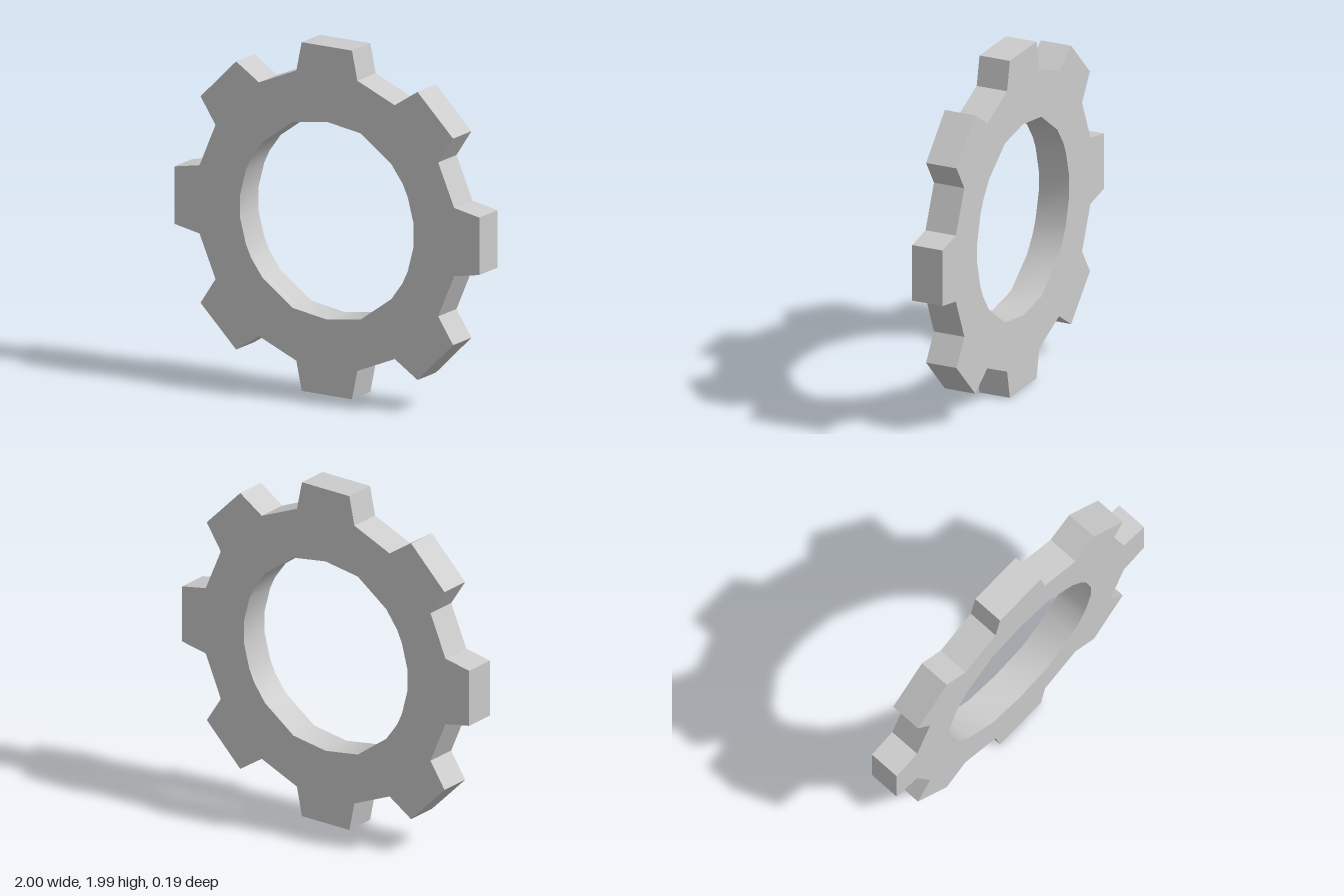
import * as THREE from 'three';
import { toCreasedNormals } from 'three/addons/utils/BufferGeometryUtils.js';

const DEPTH = 0.187;
const HALF_HEIGHT = 0.996;

// Mirrors a quarter outline (top to right side) into a closed clockwise loop
function mirrorQuarter(quarter) {
  const half = [...quarter, ...quarter.map(([x, y]) => [x, -y]).reverse()];
  const loop = [...half, ...half.map(([x, y]) => [-x, y]).reverse()];
  return loop
    .filter(([x, y], i) => {
      const [px, py] = loop[(i + loop.length - 1) % loop.length];
      return Math.hypot(x - px, y - py) > 1e-6;
    })
    .map(([x, y]) => new THREE.Vector2(x, y));
}

export function createModel() {
  const group = new THREE.Group();
  group.name = 'gear';

  // Toothed rim: half the top tooth, the diagonal tooth, half the side tooth
  const shape = new THREE.Shape(mirrorQuarter([
    [0.165, HALF_HEIGHT], [0.2, 0.829], [0.445, 0.725], [0.595, 0.823],
    [0.828, 0.59], [0.73, 0.44], [0.835, 0.195], [1, 0.164],
  ]));

  // Faceted central opening, wound against the rim so its wall faces inward
  shape.holes.push(new THREE.Path(mirrorQuarter([
    [0, 0.565], [0.224, 0.531], [0.422, 0.387],
    [0.497, 0.284], [0.531, 0.211], [0.57, 0.062],
  ]).reverse()));

  // Creased normals round off the bore and keep the teeth sharp
  const extruded = new THREE.ExtrudeGeometry(shape, { depth: DEPTH, bevelEnabled: false });
  extruded.translate(0, HALF_HEIGHT, -DEPTH / 2);
  const ring = new THREE.Mesh(
    toCreasedNormals(extruded, 0.6),
    new THREE.MeshStandardMaterial({ color: 0xcccccc }),
  );
  ring.name = 'toothedRing';
  group.add(ring);
  return group;
}
